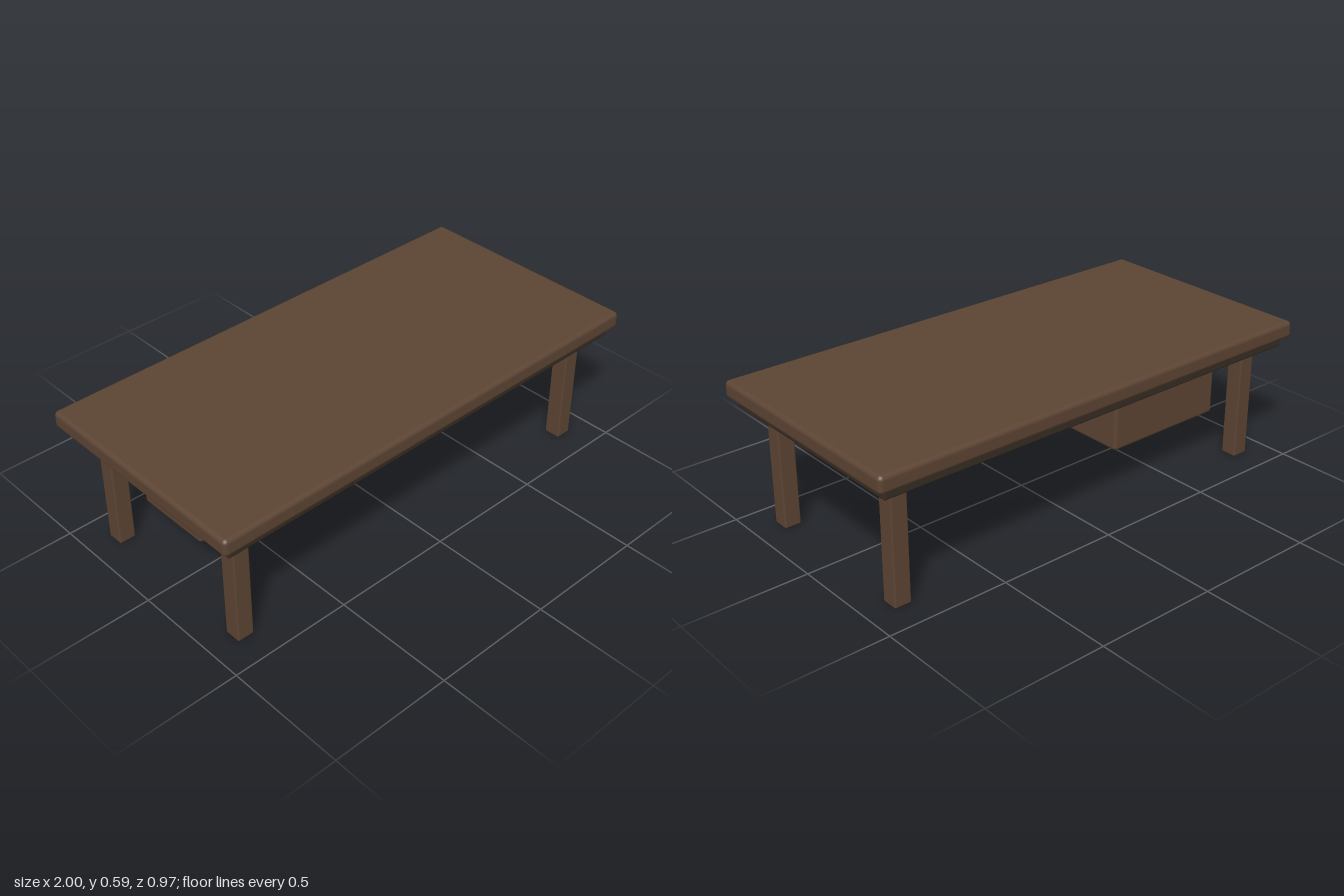
import * as THREE from 'three';
import { RoundedBoxGeometry } from 'three/addons/geometries/RoundedBoxGeometry.js';

export function createModel() {
  const desk = new THREE.Group();
  desk.name = 'desk';

  const wood = new THREE.MeshStandardMaterial({ color: 0x5c4433 });
  wood.name = 'brown wood';
  const darkWood = new THREE.MeshStandardMaterial({ color: 0x362c22 });
  darkWood.name = 'dark wood';

  // Rounded block given by its extents on each axis
  function block(name, material, [x0, x1], [y0, y1], [z0, z1], radius, parent = desk) {
    const geometry = new RoundedBoxGeometry(x1 - x0, y1 - y0, z1 - z0, 4, radius);
    const mesh = new THREE.Mesh(geometry, material);
    mesh.position.set((x0 + x1) / 2, (y0 + y1) / 2, (z0 + z1) / 2);
    mesh.name = name;
    parent.add(mesh);
    return mesh;
  }

  // Top slab and the darker panel beneath it
  block('tableTop', wood, [-1, 1], [0.52, 0.59], [-0.485, 0.485], 0.018);
  block('underPanel', darkWood, [-0.967, 0.967], [0.482, 0.53], [-0.459, 0.459], 0.008);

  // Four square legs
  for (const [side, x] of [['left', 0.86], ['right', -0.86]]) {
    for (const [end, z] of [['Front', 0.351], ['Back', -0.351]]) {
      block(`${side}${end}Leg`, wood, [x - 0.035, x + 0.035], [0, 0.5], [z - 0.035, z + 0.035], 0.007);
    }
  }

  // Hanging drawer cabinet
  const cabinet = new THREE.Group();
  cabinet.name = 'drawerCabinet';
  desk.add(cabinet);
  block('cabinetBody', wood, [-0.79, -0.24], [0.178, 0.5], [-0.277, 0.056], 0.015, cabinet);

  // Two drawers, each with a slim bar handle
  [['lower', 0.27], ['upper', 0.425]].forEach(([level, y]) => {
    block(`${level}DrawerFront`, darkWood, [-0.784, -0.246], [y - 0.066, y + 0.066], [0.059, 0.078], 0.004, cabinet);
    block(`${level}DrawerHandle`, wood, [-0.578, -0.452], [y - 0.007, y + 0.007], [0.076, 0.092], 0.003, cabinet);
  });

  return desk;
}
